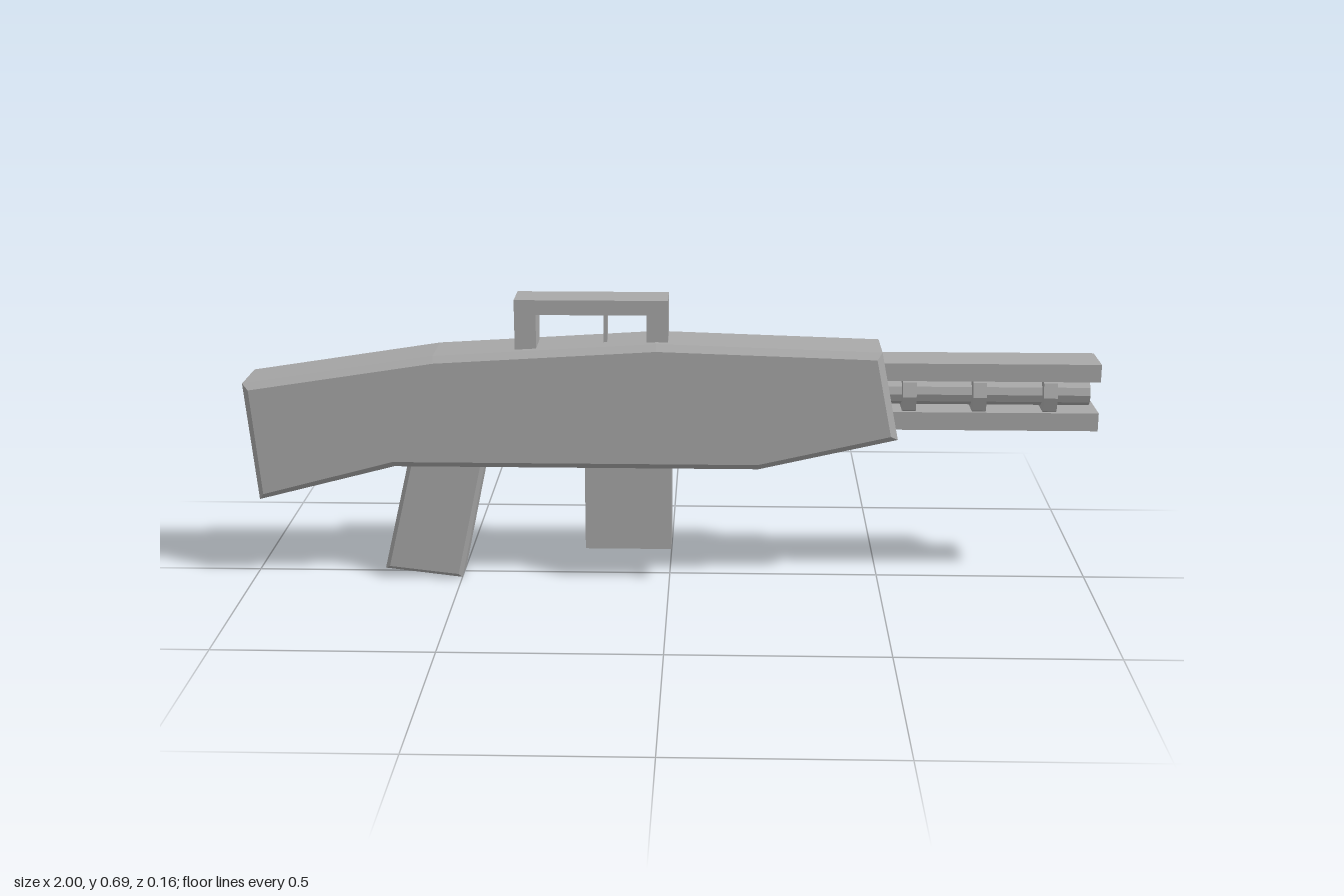
import * as THREE from 'three';

const grey = new THREE.MeshStandardMaterial({ color: 0xa8a8a8 });
grey.name = 'grey metal';

export function createModel() {
  const model = new THREE.Group();
  model.name = 'toyBlaster';

  const add = (name, geometry) => {
    const mesh = new THREE.Mesh(geometry, grey);
    mesh.name = name;
    model.add(mesh);
  };

  // Box given by its limits in x and y and its half width in z
  const box = (name, x0, x1, y0, y1, halfZ) =>
    add(name, new THREE.BoxGeometry(x1 - x0, y1 - y0, halfZ * 2)
      .translate((x0 + x1) / 2, (y0 + y1) / 2, 0));

  // Side outline extruded across z, with a single chamfer inside the outline
  const slab = (name, points, halfZ, bevel) => {
    const shape = new THREE.Shape(points.map(([x, y]) => new THREE.Vector2(x, y)));
    const depth = (halfZ - bevel) * 2;
    add(name, new THREE.ExtrudeGeometry(shape, {
      depth, bevelSize: bevel, bevelThickness: bevel, bevelOffset: -bevel, bevelSegments: 1,
    }).translate(0, 0, -depth / 2));
  };

  // Ten-sided faceted rod along x
  const rod = (name, x0, x1, radius) => {
    const g = new THREE.CylinderGeometry(radius, radius, x1 - x0, 10)
      .rotateZ(-Math.PI / 2).translate((x0 + x1) / 2, 0.466, 0).toNonIndexed();
    g.computeVertexNormals();
    add(name, g);
  };

  // Main body and stock
  slab('body', [
    [-0.975, 0.205], [-0.65, 0.29], [0.21, 0.29], [0.535, 0.365],
    [0.493, 0.575], [-0.03, 0.592], [-0.55, 0.56], [-1, 0.49],
  ], 0.079, 0.015);

  // Slanted grip and magazine
  slab('grip', [[-0.685, 0.025], [-0.5, 0.003], [-0.43, 0.33], [-0.612, 0.33]], 0.051, 0.01);
  box('magazine', -0.2, 0.005, 0.083, 0.32, 0.05);

  // Carry handle with a thin sight blade beneath
  box('handleBar', -0.36, -0.003, 0.655, 0.69, 0.047);
  box('handleRearPost', -0.36, -0.31, 0.565, 0.655, 0.046);
  box('handleFrontPost', -0.053, -0.003, 0.58, 0.655, 0.046);
  box('sight', -0.154, -0.146, 0.58, 0.655, 0.02);

  // Barrel between two rails, held by three collars
  box('upperRail', 0.48, 1, 0.505, 0.547, 0.054);
  box('lowerRail', 0.5, 1, 0.387, 0.43, 0.054);
  rod('barrel', 0.48, 0.983, 0.03);
  for (const x of [0.56, 0.723, 0.887]) rod('collar', x - 0.016, x + 0.016, 0.057);

  return model;
}
